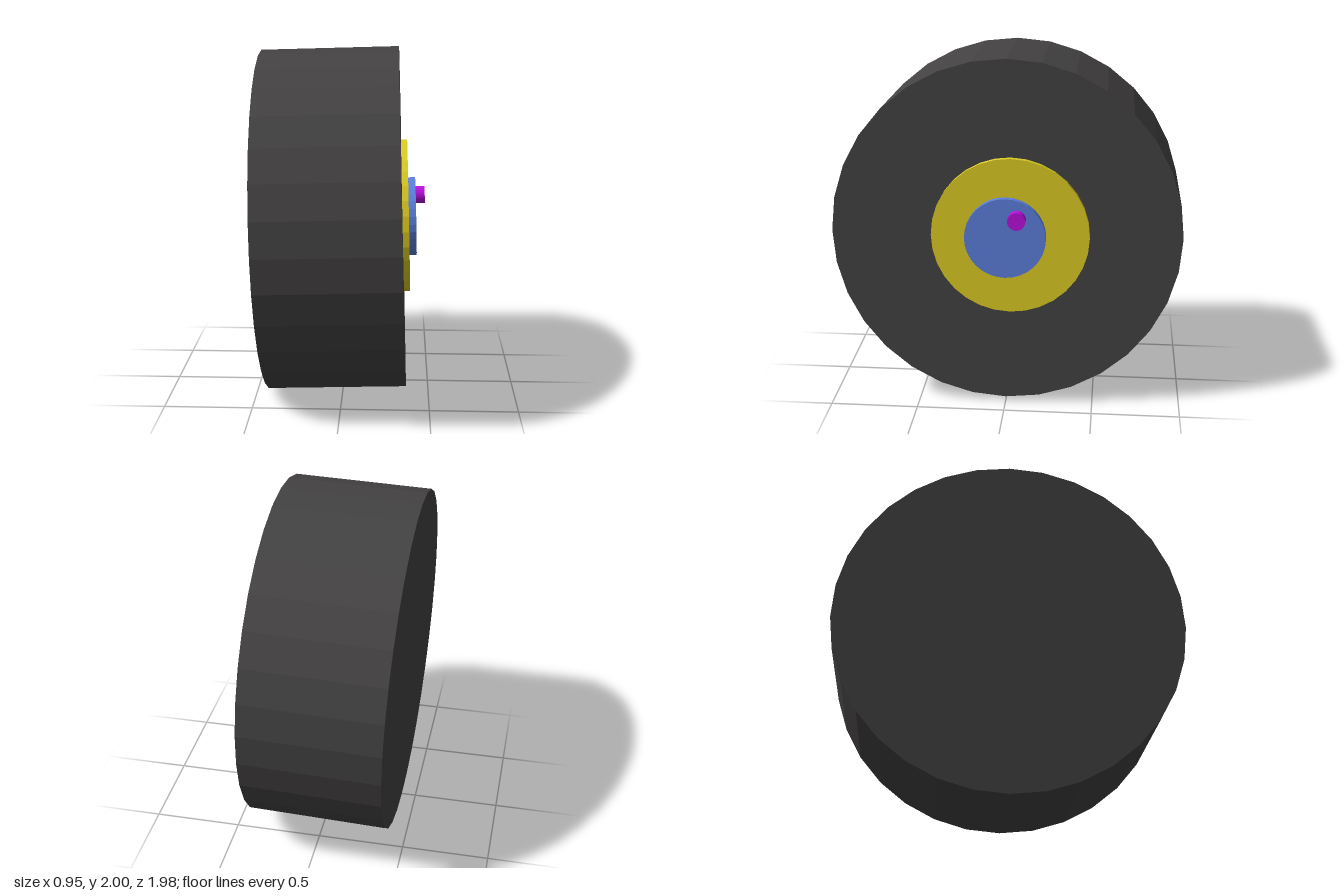
import * as THREE from 'three';

// Flat-shaded disc along the wheel axis (local x), from x0 to x1
function disc(name, radius, x0, x1, y, z, color, sides = 32) {
  const geometry = new THREE.CylinderGeometry(radius, radius, x1 - x0, sides);
  geometry.rotateZ(-Math.PI / 2);
  const mesh = new THREE.Mesh(
    geometry,
    new THREE.MeshStandardMaterial({ color, flatShading: true })
  );
  mesh.name = name;
  mesh.position.set((x0 + x1) / 2, y, z);
  return mesh;
}

export function createModel() {
  const model = new THREE.Group();
  model.name = 'wheel';

  // The whole wheel leans slightly
  const wheel = new THREE.Group();
  wheel.name = 'tiltedWheel';
  wheel.position.set(-0.052, 1.003, 0);
  wheel.rotation.z = 0.03;
  model.add(wheel);

  wheel.add(
    disc('tire', 0.988, -0.393, 0.393, 0, 0, 0x444243),
    // Stacked hub on the outer face, rim slightly off centre
    disc('rim', 0.445, 0.38, 0.429, -0.002, -0.025, 0xddcc22),
    disc('hubCap', 0.228, 0.42, 0.471, -0.003, 0, 0x5b80dd),
    disc('valvePin', 0.05, 0.46, 0.525, 0.112, -0.067, 0xb810dd)
  );

  return model;
}
